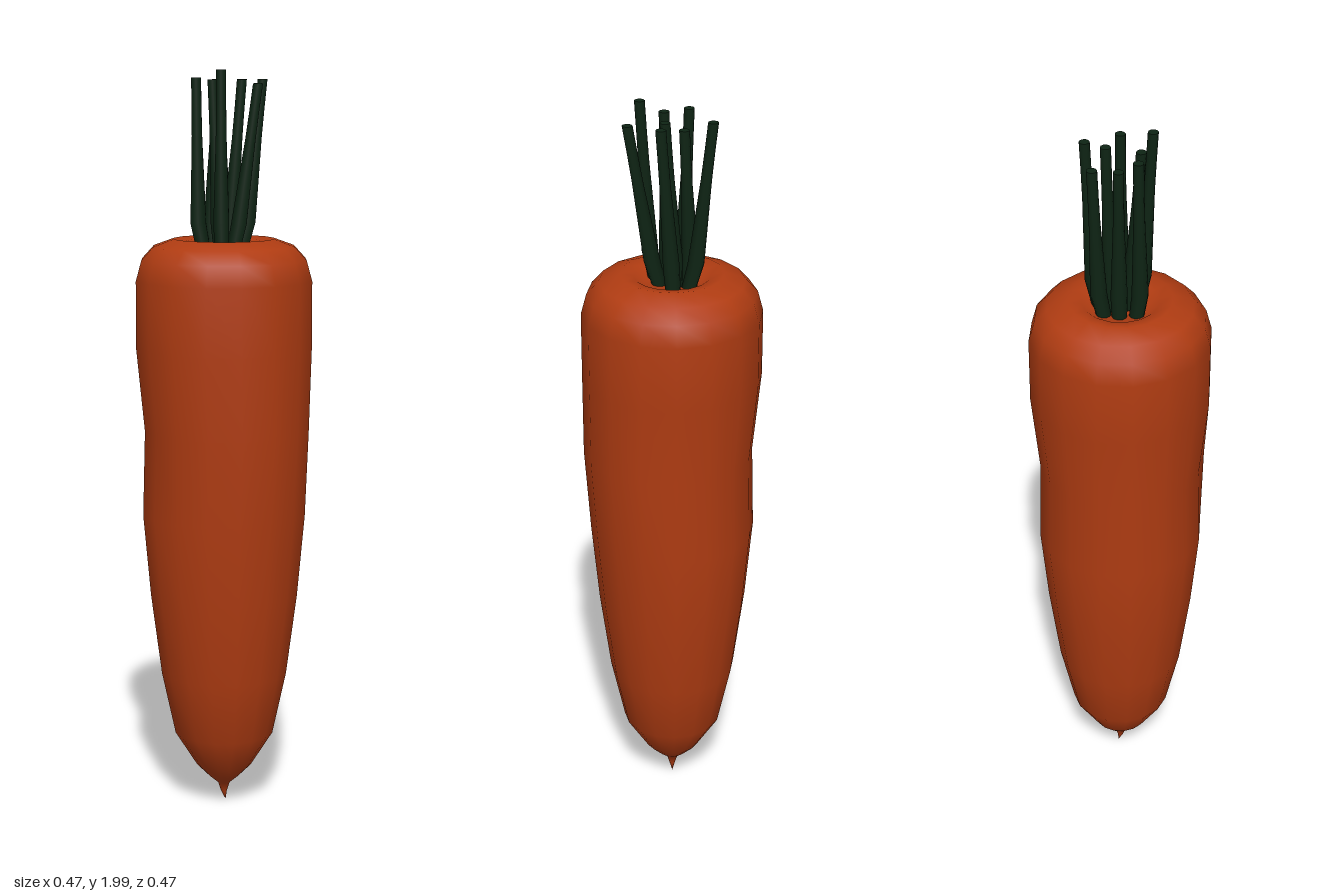
import * as THREE from 'three';
import { mergeVertices } from 'three/addons/utils/BufferGeometryUtils.js';

const orange = new THREE.MeshStandardMaterial({ color: 0xb03c12 });
const green = new THREE.MeshStandardMaterial({ color: 0x0e2414 });

// Root: 16-sided turned body with a dished crown and a thin tail
function createRoot() {
  const profile = [
    [0, 0.01], [0.008, 0.035], [0.016, 0.06], [0.04, 0.08], [0.075, 0.115], [0.135, 0.21],
    [0.172, 0.38], [0.201, 0.6], [0.221, 0.82], [0.215, 1.05], [0.237, 1.27], [0.237, 1.45],
    [0.222, 1.505], [0.19, 1.54], [0.135, 1.56], [0.1, 1.553], [0.075, 1.535], [0, 1.53],
  ].map(([r, y]) => new THREE.Vector2(r, y));
  let geo = new THREE.LatheGeometry(profile, 16);
  const p = geo.attributes.position;
  for (let i = 0; i < p.count; i++) {
    const x = p.getX(i), y = p.getY(i), z = p.getZ(i);
    // the waist is filled out on the front side only
    if (z > 0.05 && Math.abs(y - 1.05) < 0.05) p.setXYZ(i, x * 1.05, y, z * 1.1);
    // the tail tip bends a little to the side
    if (y < 0.03) p.setX(i, x + 0.005);
  }
  geo.deleteAttribute('normal');
  geo.deleteAttribute('uv');
  geo = mergeVertices(geo, 1e-4);
  geo.computeVertexNormals();
  const root = new THREE.Mesh(geo, orange);
  root.name = 'root';
  return root;
}

// Stalk: tapered rod leaning from its base to its tip, pinched at the foot
function createStalk([bx, bz, tx, tz, top]) {
  const foot = 1.525, height = top - foot;
  const geo = new THREE.CylinderGeometry(1, 1, height, 10, 6);
  const p = geo.attributes.position;
  for (let i = 0; i < p.count; i++) {
    const t = p.getY(i) / height + 0.5;
    const r = THREE.MathUtils.lerp(0.024, 0.0135, Math.min(1, t * 1.4));
    const pinch = t < 0.05 ? 0.8 : 1;
    p.setXYZ(i,
      THREE.MathUtils.lerp(bx * pinch, tx, t) + p.getX(i) * r * pinch,
      foot + t * height,
      THREE.MathUtils.lerp(bz * pinch, tz, t) + p.getZ(i) * r * pinch);
  }
  const stalk = new THREE.Mesh(geo, green);
  stalk.name = 'stalk';
  return stalk;
}

export function createModel() {
  const model = new THREE.Group();
  model.name = 'carrot';
  model.add(createRoot());

  // Base x, base z, tip x, tip z, tip height
  const stalks = new THREE.Group();
  stalks.name = 'stalks';
  [
    [0.04, -0.05, 0.045, -0.1, 1.975],
    [-0.06, -0.03, -0.057, -0.046, 1.98],
    [-0.01, -0.05, -0.003, -0.031, 1.94],
    [0.02, -0.01, 0.043, 0.02, 1.975],
    [0.067, 0, 0.1, 0.033, 1.975],
    [0.008, 0.04, 0.03, 0.113, 1.965],
    [-0.02, 0.01, -0.048, 0.018, 1.975],
    [-0.042, 0.05, -0.062, 0.079, 2],
  ].forEach((s) => stalks.add(createStalk(s)));
  model.add(stalks);
  return model;
}
